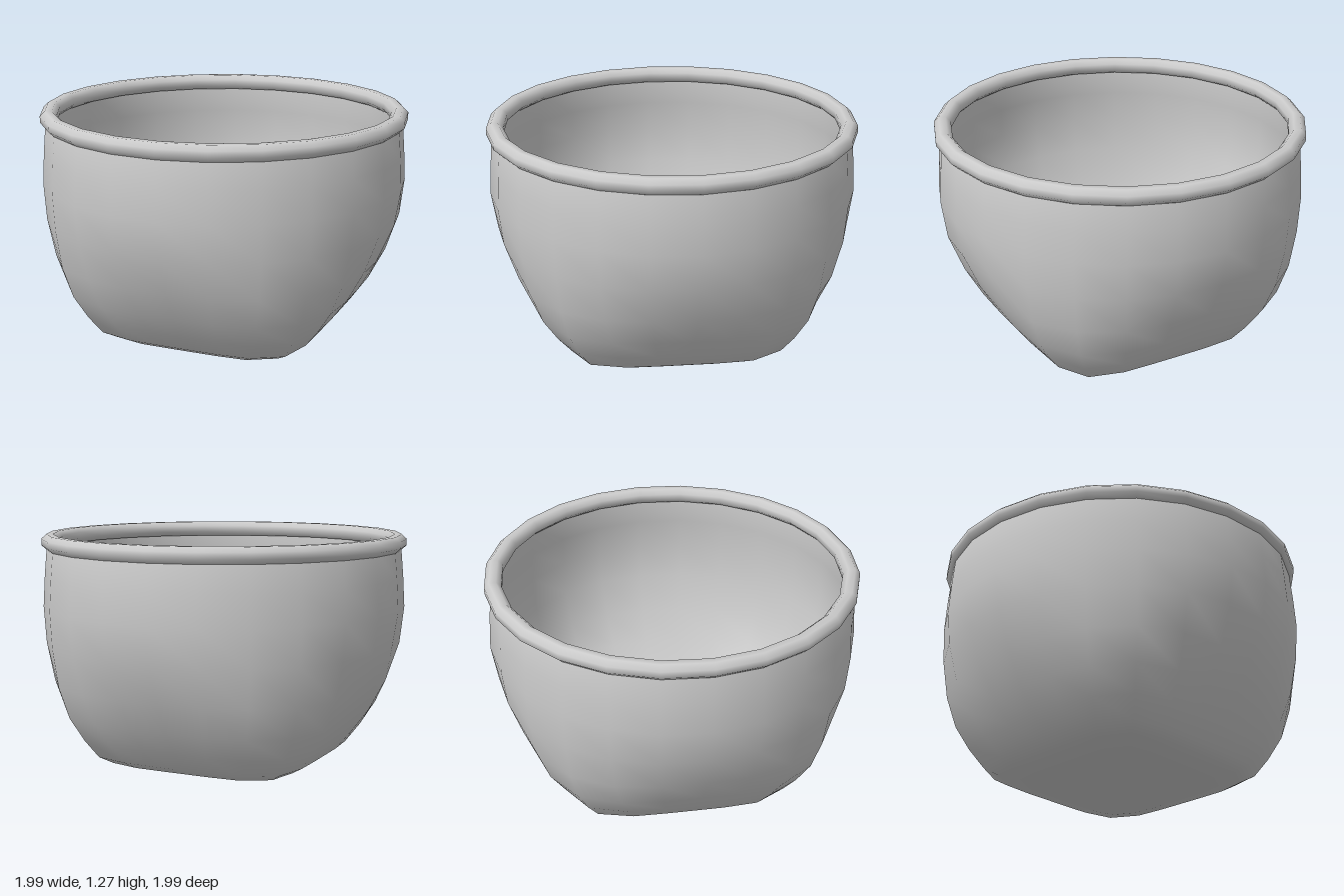
import * as THREE from 'three';
import { mergeVertices } from 'three/addons/utils/BufferGeometryUtils.js';

const SIDES = 24;
const START = THREE.MathUtils.degToRad(5);
const CORNER = THREE.MathUtils.degToRad(13); // direction of one base corner, from +x toward +z

// Revolve a profile of [radius, y] pairs
function revolve(points) {
  return new THREE.LatheGeometry(points.map(([r, y]) => new THREE.Vector2(r, y)), SIDES, START);
}

// Weld the seam and give smooth normals
function smooth(geometry) {
  geometry.deleteAttribute('uv');
  geometry.deleteAttribute('normal');
  const welded = mergeVertices(geometry, 1e-4);
  welded.computeVertexNormals();
  return welded;
}

// Turn the round cross-section into a rounded square toward the base
function squareBase(geometry) {
  const pos = geometry.attributes.position;
  for (let i = 0; i < pos.count; i++) {
    const x = pos.getX(i), y = pos.getY(i), z = pos.getZ(i);
    const t = Math.max(0, 1 - y / 0.85);
    const p = 2 + 3.5 * t * t;
    const a = Math.atan2(z, x) - CORNER - Math.PI / 4;
    const reach = (Math.abs(Math.cos(a)) ** p + Math.abs(Math.sin(a)) ** p) ** (-1 / p);
    const scale = reach / 2 ** (0.5 - 1 / p);
    pos.setXYZ(i, x * scale, y, z * scale);
  }
  return geometry;
}

export function createModel() {
  const group = new THREE.Group();
  group.name = 'bowl';
  const material = new THREE.MeshStandardMaterial({ color: 0xcccccc, side: THREE.DoubleSide });

  // Thin wall: outside from the base up, then inside back down to the floor
  const outer = [
    [0, 0], [0.3, 0], [0.53, 0.005], [0.66, 0.03], [0.74, 0.07], [0.82, 0.17], [0.9, 0.3],
    [0.955, 0.47], [0.985, 0.68], [0.995, 0.88], [0.985, 1.05], [0.97, 1.22],
  ];
  const inner = outer.map(([r, y]) => [Math.max(0, r - 0.025), y < 1 ? y + 0.02 * (1 - y) : y]).reverse();
  const body = new THREE.Mesh(smooth(squareBase(revolve([...outer, ...inner]))), material);
  body.name = 'bowlBody';
  group.add(body);

  // Rolled rim
  const ring = [];
  for (let i = 0; i <= 8; i++) {
    const a = (i + 0.5) * Math.PI / 4;
    ring.push([0.954 + 0.049 * Math.cos(a), 1.232 + 0.046 * Math.sin(a)]);
  }
  const rim = new THREE.Mesh(smooth(revolve(ring)), material);
  rim.name = 'rim';
  group.add(rim);

  return group;
}
